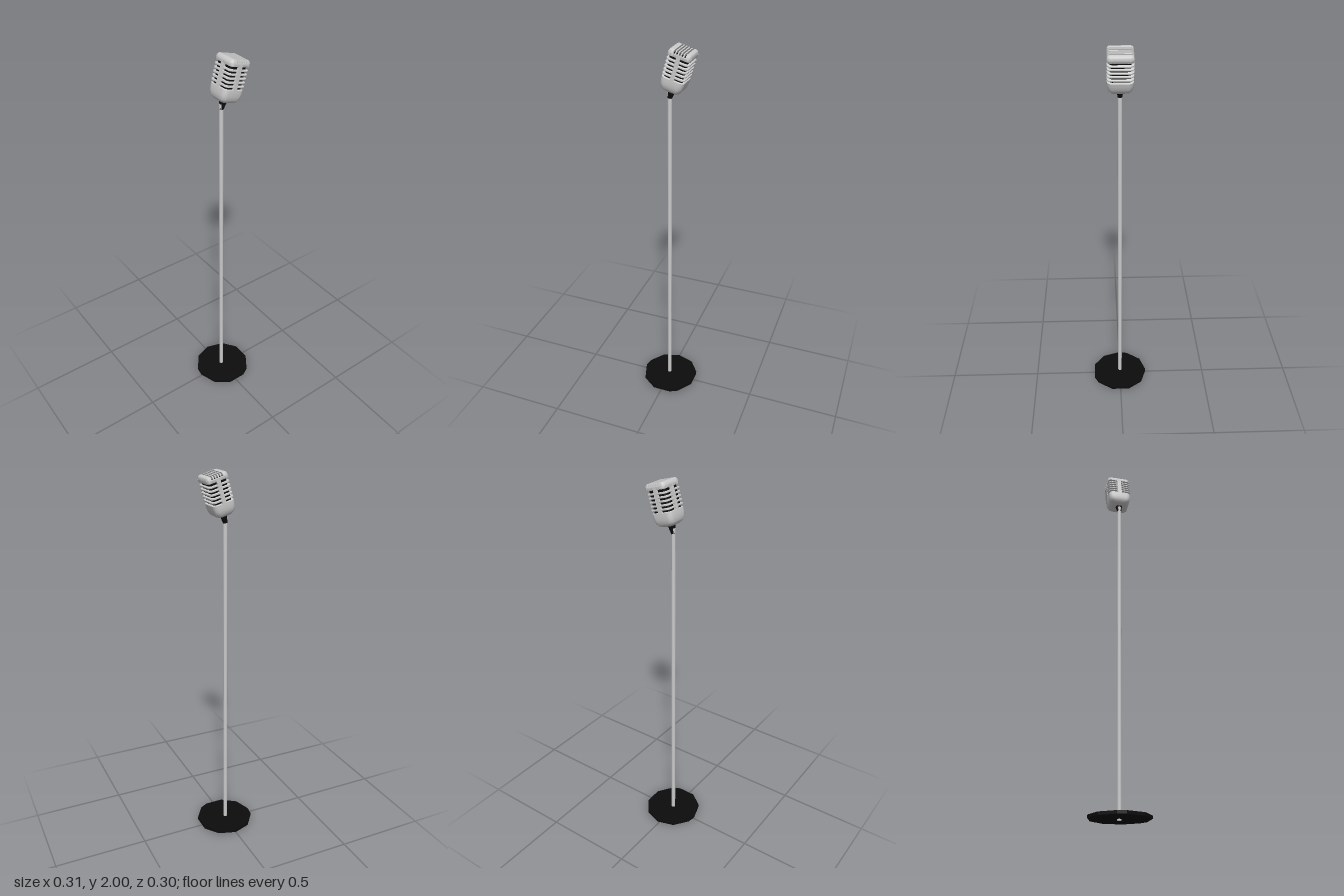
import * as THREE from 'three';
import { toCreasedNormals } from 'three/addons/utils/BufferGeometryUtils.js';

const HX = 0.063, HZ = 0.058, TOP = 0.105, R = 0.016; // head half sizes, top, corner radius

// Closed solid through a list of equal-length point loops
function loft(sections) {
  const n = sections[0].length, pos = [], index = [];
  const mean = (s) => s.reduce((c, p) => c.add(p), new THREE.Vector3()).divideScalar(n);
  sections.forEach((s) => s.forEach((p) => pos.push(p.x, p.y, p.z)));
  const last = sections.length - 1, c0 = n * sections.length;
  [sections[0], sections[last]].forEach((s) => pos.push(...mean(s).toArray()));
  for (let i = 0; i < n; i++) {
    const j = (i + 1) % n;
    for (let k = 0; k < last; k++) {
      const a = k * n;
      index.push(a + i, a + n + i, a + j, a + j, a + n + i, a + n + j);
    }
    index.push(c0, i, j, c0 + 1, last * n + j, last * n + i);
  }
  const g = new THREE.BufferGeometry();
  g.setAttribute('position', new THREE.Float32BufferAttribute(pos, 3));
  g.setIndex(index);
  return toCreasedNormals(g, 0.7);
}

// Horizontal rounded rectangle
function ring(y, w, d, r) {
  const pts = [];
  for (let k = 0; k < 4; k++) {
    const sx = k === 0 || k === 3 ? 1 : -1, sz = k < 2 ? 1 : -1;
    for (let i = 0; i <= 5; i++) {
      const a = (k + i / 5) * Math.PI / 2;
      pts.push(new THREE.Vector3(sx * (w - r) + r * Math.cos(a), y, sz * (d - r) + r * Math.sin(a)));
    }
  }
  return pts;
}

// Part of the rounded cap top between two z values
function capSlice(z0, z1) {
  const sections = [];
  for (let k = 0; k <= 8; k++) {
    const z = z0 + (z1 - z0) * k / 8;
    const t = Math.max(0, R - (HZ - Math.abs(z)));
    const inset = R - Math.sqrt(Math.max(0, R * R - t * t));
    const w = HX - inset, top = TOP - inset, r = 0.014;
    const pts = [new THREE.Vector3(-w, 0.076, z)];
    for (const s of [-1, 1]) {
      for (let i = 0; i <= 5; i++) {
        const a = s < 0 ? Math.PI - i * Math.PI / 10 : Math.PI / 2 - i * Math.PI / 10;
        pts.push(new THREE.Vector3(s * (w - r) + r * Math.cos(a), top - r + r * Math.sin(a), z));
      }
    }
    pts.push(new THREE.Vector3(w, 0.076, z));
    sections.push(pts);
  }
  return loft(sections);
}

export function createModel() {
  const model = new THREE.Group();
  const grey = new THREE.MeshStandardMaterial({ color: 0xcccccc });
  const black = new THREE.MeshStandardMaterial({ color: 0x0c0c0c });
  const add = (parent, name, geometry, material) => {
    const mesh = new THREE.Mesh(geometry, material);
    mesh.name = name;
    parent.add(mesh);
    return mesh;
  };

  // Thin, irregular many-sided floor plate
  const outline = [[-0.048, -0.153], [0.05, -0.153], [0.129, -0.098], [0.152, -0.055], [0.152, 0.043],
    [0.095, 0.12], [0, 0.151], [-0.046, 0.143], [-0.123, 0.086], [-0.153, -0.005], [-0.123, -0.098]];
  const plate = new THREE.ExtrudeGeometry(
    new THREE.Shape(outline.map(([x, z]) => new THREE.Vector2(x, z))), { depth: 0.016, bevelEnabled: false });
  plate.rotateX(Math.PI / 2).translate(0, 0.024, 0);
  add(model, 'base', plate, black);

  // Pole
  add(model, 'pole', new THREE.CylinderGeometry(0.011, 0.011, 1.775, 12).translate(0, 0.8875, 0), grey);

  // Tilted head
  const head = new THREE.Group();
  head.name = 'microphoneHead';
  head.position.set(0, 1.887, -0.042);
  head.rotation.x = -0.28;
  model.add(head);

  // Swivel neck joining the pole to the head
  const neck = add(head, 'neck', new THREE.CylinderGeometry(0.02, 0.011, 0.05, 10), black);
  neck.position.set(0, -0.122, 0.002);

  // Dark inside seen through the slots
  add(head, 'innerCore', loft([ring(-0.05, 0.052, 0.047, 0.013), ring(0.08, 0.052, 0.047, 0.013),
    ring(0.0925, 0.052, 0.047, 0.013)]), black);

  // Rounded lower bowl: height and inset from the full width
  const bowl = [[-0.105, 0.034], [-0.102, 0.023], [-0.095, 0.013], [-0.084, 0.006], [-0.068, 0.002],
    [-0.05, 0], [-0.034, 0], [-0.032, 0.002]];
  add(head, 'lowerShell', loft(bowl.map(([y, s]) => ring(y, HX - s, HZ - s, Math.max(0.016, 0.024 - s * 0.2)))), grey);

  // Grille fins wrapping around the body
  const pitch = 0.0187;
  for (let i = 1; i <= 5; i++) {
    const y = -0.037 + i * pitch;
    add(head, 'grilleFin', loft([[-0.0045, 0.002], [-0.003, 0], [0.003, 0], [0.0045, 0.002]]
      .map(([dy, s]) => ring(y + dy, HX - s, HZ - s, 0.018))), grey);
  }

  // Upright ribs on the front and both sides
  add(head, 'frontRib', new THREE.BoxGeometry(0.022, 0.12, 0.014).translate(0, 0.024, HZ - 0.007), grey);
  for (const s of [-1, 1]) {
    add(head, 'sideRib', new THREE.BoxGeometry(0.014, 0.12, 0.02).translate(s * (HX - 0.007), 0.024, 0), grey);
  }

  // Top cap: rim, solid front and back, and bars between the slots
  add(head, 'capRim', loft([ring(0.074, HX - 0.001, HZ - 0.001, R), ring(0.076, HX, HZ, R),
    ring(0.088, HX, HZ, R)]), grey);
  const slot = 0.0075, step = 0.0134, start = -0.033;
  add(head, 'capBack', capSlice(-HZ, start), grey);
  for (let i = 0; i < 4; i++) {
    add(head, 'capBar', capSlice(start + i * step + slot, start + (i + 1) * step), grey);
  }
  add(head, 'capFront', capSlice(start + 4 * step + slot, HZ), grey);

  return model;
}
